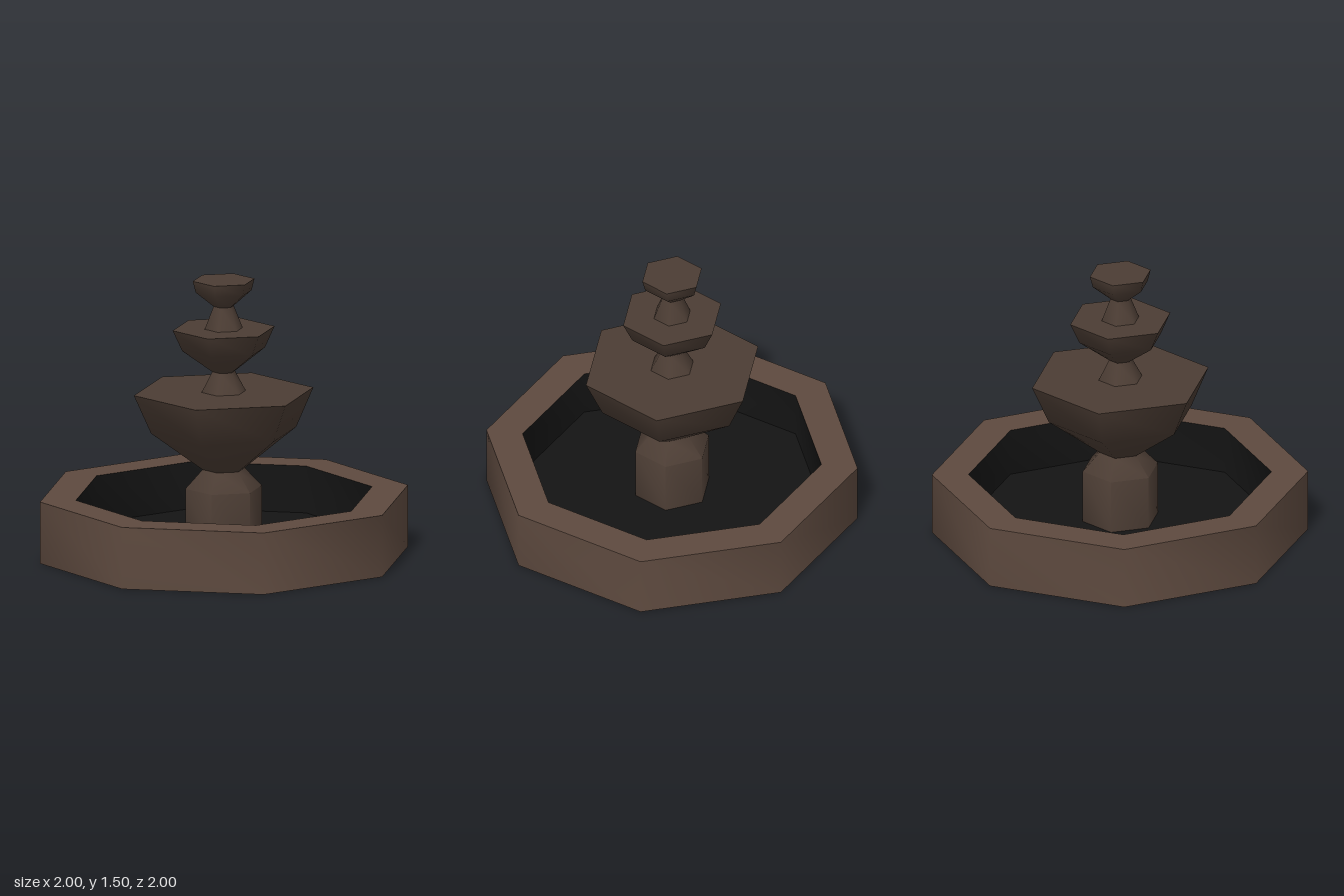
import * as THREE from 'three';
import { toCreasedNormals } from 'three/addons/utils/BufferGeometryUtils.js';

const stone = new THREE.MeshStandardMaterial({ color: 0x5e4a3f });
const darkStone = new THREE.MeshStandardMaterial({ color: 0x4c3d34 });
const water = new THREE.MeshStandardMaterial({ color: 0x141414 });

// Few-sided turned part: smooth around, sharp at rims and waists
function turned(name, profile, sides, start, material) {
  const points = profile.map(([r, y]) => new THREE.Vector2(r, y));
  const geometry = new THREE.LatheGeometry(points, sides, start);
  const mesh = new THREE.Mesh(toCreasedNormals(geometry, 1.1), material);
  mesh.name = name;
  return mesh;
}

export function createModel() {
  const fountain = new THREE.Group();
  fountain.name = 'fountain';

  // Octagonal basin: underside, outer wall and rim
  fountain.add(turned('basin', [[0, 0], [1, 0], [1, 0.335], [0.805, 0.335]], 8, 0, stone));
  // Dark inner wall and floor
  fountain.add(turned('pool', [[0.805, 0.335], [0.805, 0.08], [0, 0.08]], 8, 0, water));

  // Hexagonal pedestal and three stacked bowls, each on a flared foot
  const tiers = {
    pedestal: [[0.208, 0.08], [0.208, 0.37], [0.115, 0.47]],
    lowerBowl: [[0.115, 0.47], [0.395, 0.68], [0.488, 0.89], [0, 0.89]],
    middleFoot: [[0.12, 0.89], [0.062, 1.0]],
    middleBowl: [[0.062, 1.0], [0.225, 1.12], [0.277, 1.233], [0, 1.233]],
    upperFoot: [[0.103, 1.233], [0.055, 1.355]],
    upperBowl: [[0.055, 1.355], [0.152, 1.435], [0.168, 1.497], [0, 1.497]],
  };
  for (const [name, profile] of Object.entries(tiers)) {
    const tier = turned(name, profile, 6, Math.PI / 2, darkStone);
    tier.position.x = -0.002;
    fountain.add(tier);
  }
  return fountain;
}
